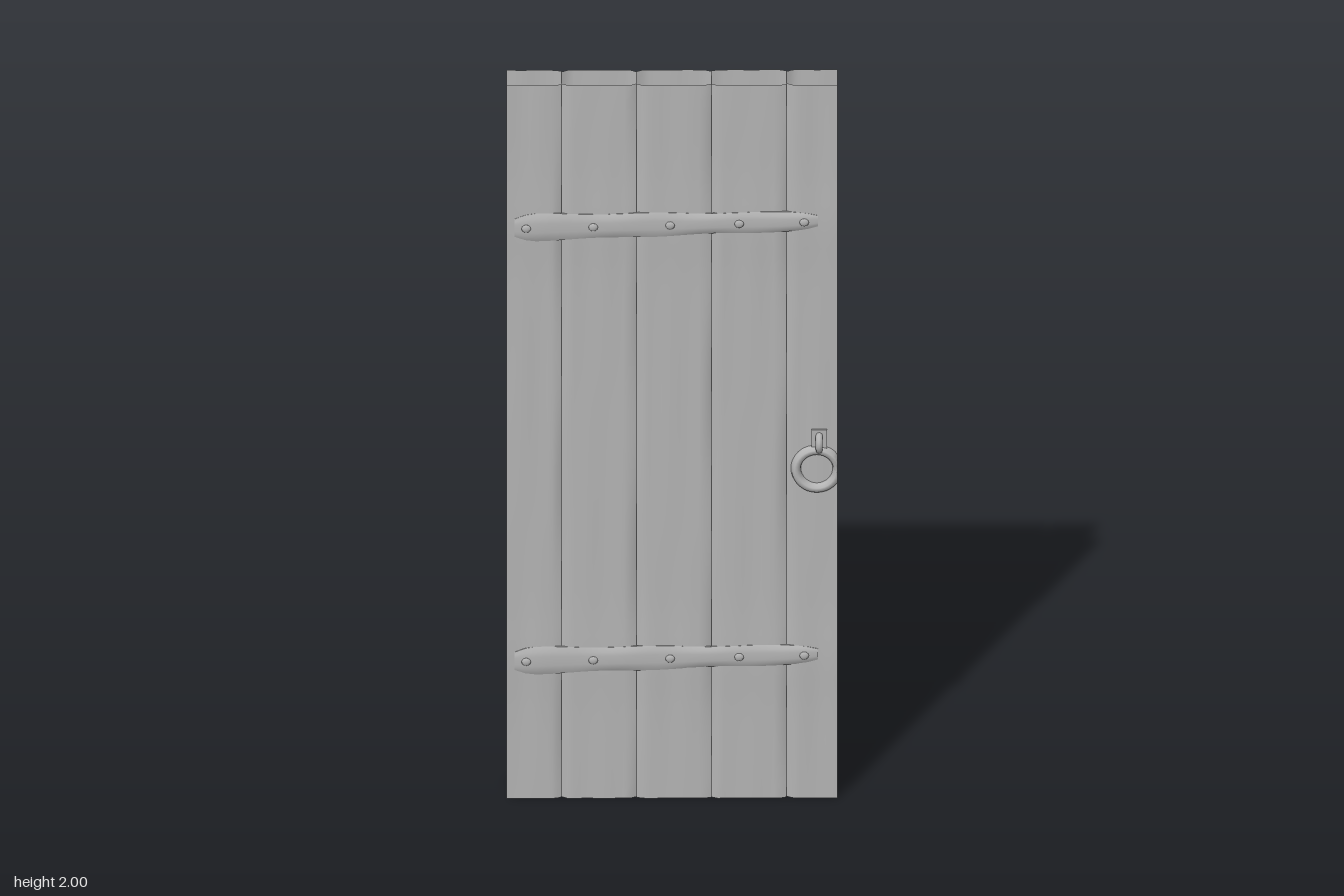
import * as THREE from 'three';

const WOOD = new THREE.MeshStandardMaterial({ color: 0xb4b4b4, side: THREE.DoubleSide });
WOOD.name = 'weathered grey';

const SEAMS = [-0.42, -0.28, -0.09, 0.1, 0.29, 0.42];
const BATTENS = [0.395, 1.61];
const LIMIT = 0.42;

// Moves every vertex by a rule and refreshes the normals
function reshape(geometry, rule) {
  const p = geometry.attributes.position;
  const v = new THREE.Vector3();
  for (let i = 0; i < p.count; i++) {
    v.fromBufferAttribute(p, i);
    rule(v);
    p.setXYZ(i, v.x, v.y, v.z);
  }
  geometry.computeVertexNormals();
  return geometry;
}

// Reflects a geometry to the back leaf, keeping faces outward
function mirrorZ(geometry) {
  geometry.scale(1, 1, -1);
  const index = geometry.index;
  for (let i = 0; i < index.count; i += 3) {
    const a = index.getX(i);
    index.setX(i, index.getX(i + 2));
    index.setX(i + 2, a);
  }
  return geometry;
}

// Thin plank whose inner edges sink into the seams and which swells at the battens
function plankGeometry(n) {
  const x0 = SEAMS[n], x1 = SEAMS[n + 1], w = x1 - x0;
  const g = new THREE.PlaneGeometry(w, 2, 12, 48);
  g.translate((x0 + x1) / 2, 1, 0);
  return reshape(g, v => {
    const toLeft = n === 0 ? 1 : v.x - x0;
    const toRight = n === SEAMS.length - 2 ? 1 : x1 - v.x;
    const edge = Math.max(0, 1 - Math.min(toLeft, toRight) / 0.016);
    const worn = 0.008 + 0.003 * Math.sin(v.y * 9 + n * 2);
    const swell = BATTENS.reduce((s, y) => s + 0.003 * Math.exp(-(((v.y - y) / 0.09) ** 2)), 0);
    const grain = 0.0012 * Math.sin(v.x * 70 + n) * Math.sin(v.y * 4 + n * 1.7);
    v.z = 0.0455 + swell + grain - edge * worn;
  });
}

// Rough crossbar, rounded across its height and narrowing to the handle side
function battenGeometry(y) {
  const g = new THREE.BoxGeometry(0.77, 1, 0.01, 28, 6, 1);
  g.translate(-0.015, 0, 0);
  return reshape(g, v => {
    const t = (v.x + 0.4) / 0.77;
    const across = v.y * 2;
    const height = 0.076 - 0.026 * t + 0.004 * Math.sin(t * 17);
    const endFade = Math.min(1, Math.min(t, 1 - t) / 0.05);
    v.y = y - 0.008 + 0.018 * t + v.y * height * (0.65 + 0.35 * endFade);
    if (v.z > 0) {
      v.z = 0.049 + (0.006 + 0.001 * Math.sin(t * 23)) * (1 - across ** 4) * (0.4 + 0.6 * endFade);
    } else v.z = 0.044;
  });
}

// Flattened nail head
function nailGeometry(x, y) {
  const g = new THREE.SphereGeometry(0.012, 10, 6);
  g.scale(1, 0.9, 0.4);
  g.translate(x, y, 0.0555);
  return g;
}

// Pull ring set through the leaf and trimmed flush with the door edge
function ringGeometry() {
  const g = new THREE.TorusGeometry(0.053, 0.013, 10, 32);
  g.scale(1, 1, 1.6);
  g.translate(0.367, 0.925, 0.043);
  return reshape(g, v => { v.x = Math.min(v.x, LIMIT); });
}

// Staple loop that holds the ring
function stapleGeometry() {
  const g = new THREE.TorusGeometry(0.02, 0.009, 8, 18);
  g.rotateY(Math.PI / 2);
  g.translate(0.373, 1.0, 0.05);
  return g;
}

// Small backing plate above the ring
function plateGeometry() {
  const g = new THREE.BoxGeometry(0.04, 0.055, 0.012);
  g.translate(0.373, 1.008, 0.047);
  return g;
}

function createLeaf(name, back) {
  const leaf = new THREE.Group();
  leaf.name = name;
  const add = (part, geometry) => {
    const mesh = new THREE.Mesh(back ? mirrorZ(geometry) : geometry, WOOD);
    mesh.name = part;
    leaf.add(mesh);
  };

  for (let n = 0; n < SEAMS.length - 1; n++) add('plank' + (n + 1), plankGeometry(n));

  BATTENS.forEach((y, i) => {
    const label = i ? 'upper' : 'lower';
    add(label + 'Batten', battenGeometry(y));
    [-0.37, -0.2, -0.005, 0.17, 0.335].forEach((x, k) =>
      add(label + 'Nail' + (k + 1), nailGeometry(x, y - 0.008 + 0.023 * (x + 0.4))));
  });

  add('pullRing', ringGeometry());
  add('ringStaple', stapleGeometry());
  add('ringPlate', plateGeometry());
  return leaf;
}

export function createModel() {
  const door = new THREE.Group();
  door.name = 'plankDoor';
  door.add(createLeaf('frontLeaf', false), createLeaf('backLeaf', true));
  return door;
}
